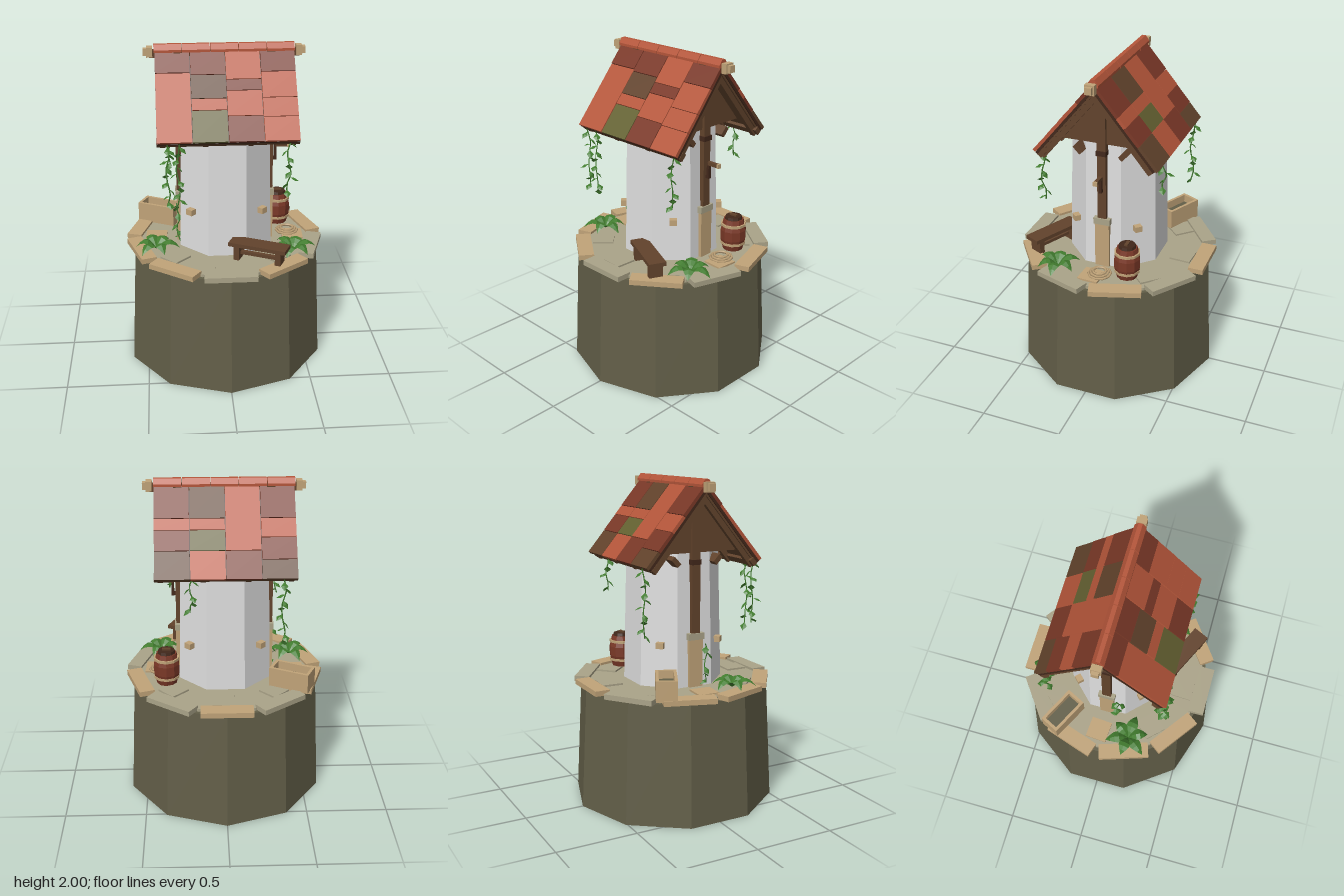
import * as THREE from 'three';

const mat = (name, color, side = THREE.FrontSide) => {
  const m = new THREE.MeshStandardMaterial({ color, side });
  m.name = name;
  return m;
};

export function createModel() {
  const M = {
    plaster: mat('plaster', 0xdedede),
    rock: mat('rock', 0x625e48),
    grey: mat('greyStone', 0xaaa388),
    tan: mat('tanStone', 0xc0a378),
    tile: mat('brightTile', 0xb5563a),
    dark: mat('darkTile', 0x7a3827),
    wood: mat('wood', 0x62432c),
    moss: mat('mossTile', 0x646131),
    shade: mat('darkWood', 0x42281b),
    leaf: mat('leaf', 0x427d2f, THREE.DoubleSide),
  };
  const root = new THREE.Group();
  root.name = 'roundTower';

  const add = (name, geo, m, x = 0, y = 0, z = 0, parent = root) => {
    const mesh = new THREE.Mesh(geo, m);
    mesh.name = name;
    mesh.position.set(x, y, z);
    parent.add(mesh);
    return mesh;
  };
  const box = (name, m, w, h, d, x, y, z, parent = root) =>
    add(name, new THREE.BoxGeometry(w, h, d), m, x, y, z, parent);
  const group = (name, x, y, z, ry = 0, parent = root) => {
    const g = new THREE.Group();
    g.name = name;
    g.position.set(x, y, z);
    g.rotation.y = ry;
    parent.add(g);
    return g;
  };
  // faceted normals
  const flat = (geo) => {
    const g = geo.toNonIndexed();
    g.computeVertexNormals();
    return g;
  };

  // rock plinth, floor and tower
  add('plinth', flat(new THREE.CylinderGeometry(0.59, 0.63, 0.74, 10)), M.rock, 0, 0.37, 0);
  add('floor', flat(new THREE.CylinderGeometry(0.54, 0.54, 0.02, 10, 1, false, Math.PI / 10)), M.grey, 0, 0.749, 0);
  add('tower', flat(new THREE.CylinderGeometry(0.282, 0.306, 0.83, 8, 1, false, Math.PI / 8)), M.plaster, 0, 1.155, 0);

  // rim stones
  'gtgtgtgttt'.split('').forEach((c, i) => {
    const a = (i * Math.PI) / 5;
    const s = box('rimStone', c === 'g' ? M.grey : M.tan, 0.312, 0.032, 0.093,
      Math.sin(a) * 0.549, 0.758, Math.cos(a) * 0.549);
    s.rotation.y = a;
  });
  // paving stones
  'ggtgggtg'.split('').forEach((c, i) => {
    const a = (i * Math.PI) / 4 - 0.04;
    const s = box('pavingStone', c === 'g' ? M.grey : M.tan, 0.13, 0.014, 0.13,
      Math.sin(a) * 0.43, 0.763, Math.cos(a) * 0.43);
    s.rotation.y = a + 0.04 * Math.sin(i * 3);
  });

  // side posts, gables and brackets
  for (const s of [-1, 1]) {
    box('stonePier', M.tan, 0.05, 0.29, 0.09, s * 0.275, 0.905, 0);
    box('pierCap', M.grey, 0.06, 0.04, 0.104, s * 0.275, 1.07, 0);
    box('post', M.wood, 0.05, 0.87, 0.054, s * 0.272, 1.525, 0);
    box('postCollar', M.shade, 0.06, 0.03, 0.062, s * 0.274, 1.515, 0);
    const tri = new THREE.Shape([
      new THREE.Vector2(-0.295, 0), new THREE.Vector2(0.295, 0), new THREE.Vector2(0, 0.36),
    ]);
    const gable = add('gable', new THREE.ExtrudeGeometry(tri, { depth: 0.03, bevelEnabled: false }),
      M.wood, s * 0.265 - 0.015, 1.57, 0);
    gable.rotation.y = Math.PI / 2;
    for (const t of [-1, 1]) {
      const brace = box('brace', M.wood, 0.08, 0.06, 0.03, s * 0.27, 1.525, t * 0.14);
      brace.rotation.x = t * 0.75;
      const peg = box('wallPeg', M.tan, 0.045, 0.036, 0.05, s * 0.212, 1.02, t * 0.195);
      peg.rotation.y = s * t * Math.PI / 4;
    }
  }

  // roof: each column lists [colour, lower edge as horizontal run from the ridge]
  const frontCols = [
    [['dark', 0.107], ['tile', 0.38]],
    [['dark', 0.116], ['wood', 0.21], ['tile', 0.256], ['moss', 0.38]],
    [['tile', 0.136], ['dark', 0.18], ['tile', 0.28], ['dark', 0.38]],
    [['dark', 0.107], ['tile', 0.21], ['tile', 0.285], ['tile', 0.38]],
  ];
  const backCols = [
    [['dark', 0.15], ['tile', 0.195], ['dark', 0.275], ['wood', 0.385]],
    [['wood', 0.15], ['tile', 0.195], ['moss', 0.275], ['tile', 0.385]],
    [['tile', 0.275], ['dark', 0.385]],
    [['dark', 0.15], ['tile', 0.225], ['dark', 0.31], ['wood', 0.385]],
  ];
  const pitch = 0.88, run = Math.cos(pitch);
  [frontCols, backCols].forEach((cols, side) => {
    const half = group(side ? 'backRoof' : 'frontRoof', 0, 1.985, 0, side * Math.PI);
    const slope = group('roofSlope', 0, 0, 0, 0, half);
    slope.rotation.x = pitch;
    box('roofDeck', M.shade, 0.815, 0.016, 0.57, 0, -0.029, 0.31, slope);
    box('roofLining', M.wood, 0.8, 0.012, 0.55, 0, -0.043, 0.32, slope);
    cols.forEach((bands, c) => {
      let top = 0.02;
      bands.forEach(([colour, end]) => {
        const a = top / run, b = end / run;
        const t = box('roofTile', M[colour], 0.2, 0.02, b - a - 0.003, -0.307 + c * 0.2047, -0.011, (a + b) / 2, slope);
        t.rotation.x = -0.015;
        top = end;
      });
    });
    // rafters and eave beam
    for (const x of [-0.375, -0.13, 0.13, 0.375]) {
      box('rafter', M.wood, 0.03, 0.035, 0.54, x, -0.063, 0.325, slope);
    }
    box('eaveBeam', M.wood, 0.82, 0.03, 0.045, 0, -0.053, 0.572, slope);
    for (let i = 0; i < 6; i++) {
      box('eavePeg', M.shade, 0.016, 0.03, 0.016, -0.4 + i * 0.16, -0.47, 0.325, half);
    }
  });

  // ridge
  box('ridgeBeam', M.wood, 0.88, 0.045, 0.036, 0, 1.945, 0);
  for (let i = 0; i < 5; i++) {
    const cap = new THREE.Shape([
      [-0.034, -0.045], [0.034, -0.045], [0.034, -0.03], [0.012, 0], [-0.012, 0], [-0.034, -0.03],
    ].map(([x, y]) => new THREE.Vector2(x, y)));
    const r = add('ridgeTile', new THREE.ExtrudeGeometry(cap, { depth: 0.161, bevelEnabled: false }),
      M.tile, -0.412 + i * 0.165, 2, 0);
    r.rotation.y = Math.PI / 2;
  }
  for (const s of [-1, 1]) {
    box('ridgeEnd', M.tan, 0.035, 0.058, 0.058, s * 0.437, 1.956, 0);
    box('ridgeEndKnob', M.tan, 0.03, 0.04, 0.04, s * 0.46, 1.956, 0);
  }

  // crank
  const crank = group('crank', 0, 0, 0);
  box('crankShaft', M.shade, 0.06, 0.018, 0.018, 0.29, 1.28, 0, crank);
  box('crankArm', M.shade, 0.016, 0.1, 0.02, 0.313, 1.32, 0, crank);
  box('crankHandle', M.wood, 0.08, 0.022, 0.022, 0.352, 1.365, 0, crank);
  box('crankGrip', M.tan, 0.012, 0.026, 0.026, 0.39, 1.365, 0, crank);

  // barrel
  const barrel = group('barrel', 0.358, 0.768, -0.185);
  const prof = [[0, 0], [0.062, 0], [0.08, 0.07], [0.08, 0.13], [0.062, 0.2], [0, 0.2]];
  add('barrelBody', flat(new THREE.LatheGeometry(prof.map(([x, y]) => new THREE.Vector2(x, y)), 10)), M.dark, 0, 0, 0, barrel);
  for (const y of [0.045, 0.165]) {
    add('barrelHoop', flat(new THREE.CylinderGeometry(0.079, 0.079, 0.016, 10)), M.tan, 0, y, 0, barrel);
  }
  add('barrelLid', flat(new THREE.CylinderGeometry(0.05, 0.055, 0.02, 10)), M.shade, 0, 0.208, 0, barrel);
  box('lidHandle', M.wood, 0.05, 0.012, 0.02, 0, 0.222, 0, barrel);

  // rope coil
  [0.068, 0.054, 0.04].forEach((r, i) => {
    const coil = add('ropeCoil', new THREE.TorusGeometry(r, 0.008, 5, 10), M.tan, 0.402, 0.774 + i * 0.008, -0.025);
    coil.rotation.x = Math.PI / 2;
  });

  // bench
  const bench = group('bench', 0.181, 0.765, 0.377, -0.44);
  box('benchSeat', M.wood, 0.355, 0.024, 0.105, 0, 0.102, 0, bench);
  for (const s of [-1, 1]) box('benchLeg', M.wood, 0.035, 0.092, 0.085, s * 0.13, 0.046, 0, bench);
  box('benchRail', M.wood, 0.24, 0.02, 0.025, 0, 0.04, 0, bench);

  // trough
  const trough = group('trough', -0.405, 0.765, -0.258, -0.46);
  for (const s of [-1, 1]) {
    box('troughSide', M.tan, 0.25, 0.125, 0.018, 0, 0.0625, s * 0.054, trough);
    box('troughEnd', M.tan, 0.018, 0.125, 0.09, s * 0.116, 0.0625, 0, trough);
  }
  box('troughFill', M.rock, 0.214, 0.07, 0.09, 0, 0.04, 0, trough);

  // arched, folded leaf growing along +z
  const leafGeo = (len, wid, rise, rows) => {
    const g = new THREE.PlaneGeometry(1, 1, 2, rows);
    const p = g.attributes.position;
    for (let i = 0; i < p.count; i++) {
      const u = p.getX(i) * 2, t = p.getY(i) + 0.5;
      const w = Math.sin(Math.PI * Math.pow(t, 0.8)) * wid * 0.5;
      p.setXYZ(i, u * w, rise * Math.sin(Math.PI * t * 0.95) - Math.abs(u) * w * 0.35, t * len);
    }
    return flat(g);
  };

  // ground plants
  [[-0.43, 0.175, 0.4], [0.405, 0.25, 0.65]].forEach(([x, z, turn]) => {
    const plant = group('plant', x, 0.768, z, turn);
    for (let i = 0; i < 6; i++) {
      const l = add('plantLeaf', leafGeo(0.125 + 0.02 * (i % 2), 0.075, 0.06, 5), M.leaf, 0, 0, 0, plant);
      l.rotation.y = (i * Math.PI) / 3;
    }
  });

  // hanging vines: [x, z, top, bottom]
  const vines = [
    [-0.35, 0.355, 1.51, 1.13], [-0.29, 0.35, 1.51, 1.1], [0.35, 0.345, 1.51, 1.18],
    [-0.33, -0.36, 1.51, 1.1], [-0.292, 0.07, 1.02, 0.77], [0.2, -0.35, 1.51, 1.3],
  ];
  vines.forEach(([x, z, top, bottom], k) => {
    const vine = group('vine', x, 0, z);
    const pts = [];
    for (let i = 0; i <= 5; i++) {
      pts.push(new THREE.Vector3(0.012 * Math.sin(i * 2 + k), top + ((bottom - top) * i) / 5, 0.012 * Math.cos(i * 1.7 + k)));
    }
    const curve = new THREE.CatmullRomCurve3(pts);
    add('vineStem', new THREE.TubeGeometry(curve, 10, 0.004, 4), M.leaf, 0, 0, 0, vine);
    const n = Math.round((top - bottom) / 0.042);
    for (let i = 0; i < n; i++) {
      const p = curve.getPoint((i + 0.4) / n);
      const l = add('vineLeaf', leafGeo(0.058, 0.045, 0.008, 2), M.leaf, p.x, p.y, p.z, vine);
      l.rotation.set(0.7 + 0.3 * Math.sin(i * 2.3), i * 2.4 + k, 0, 'YXZ');
    }
  });

  return root;
}
